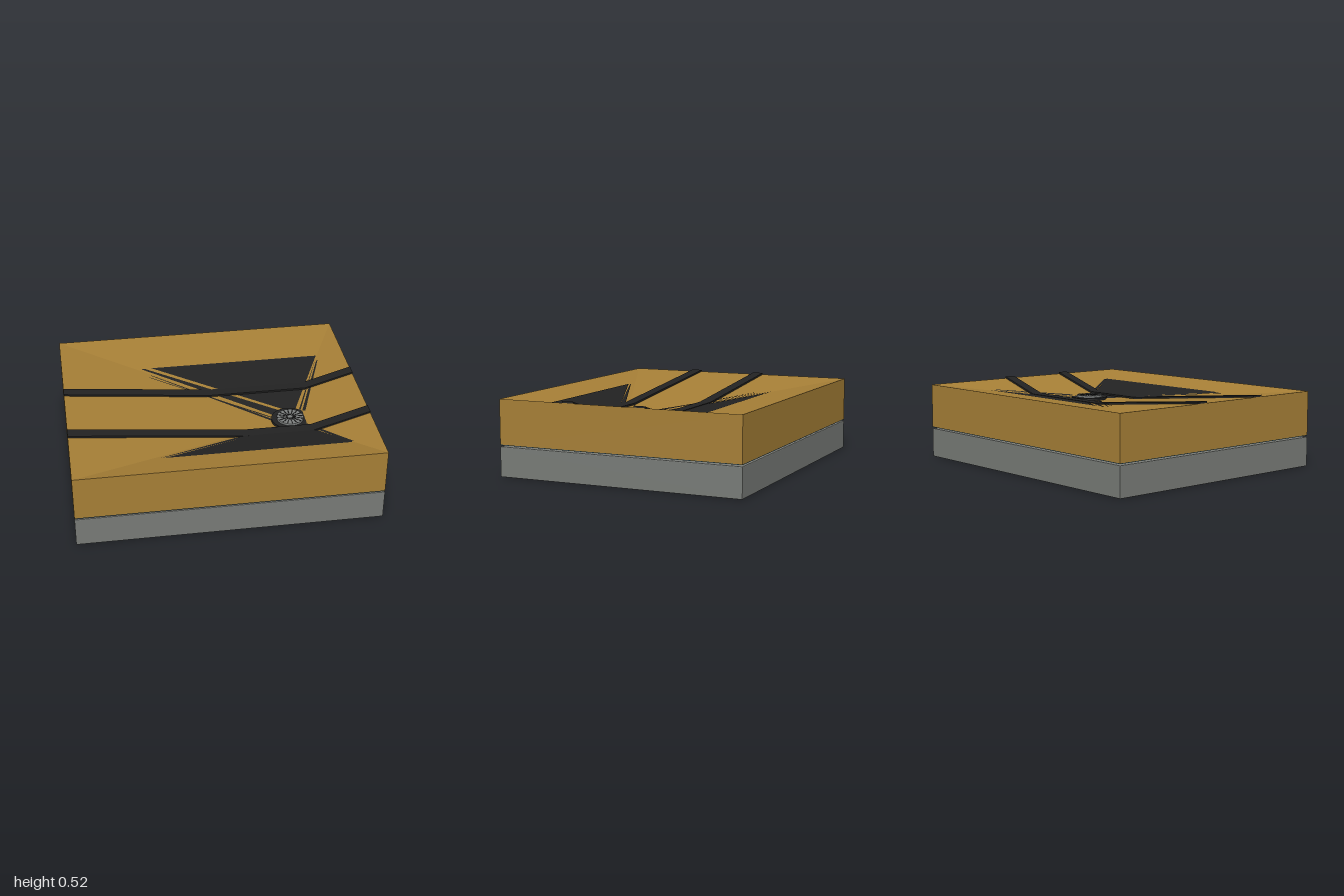
import * as THREE from 'three';

const W = 1, D = 0.84;            // half sizes
const RIM = 0.51, LOW = 0.36;     // rim and low point of the sloped floor
const DX = 0.5, DZ = 0.185;       // drain position

const material = (name, color) => {
  const m = new THREE.MeshStandardMaterial({ color });
  m.name = name;
  return m;
};

// Height of the floor: four planes falling to the drain
function floorY(x, z) {
  const dx = x - DX, dz = z - DZ;
  const u = dx > 0 ? dx / (W - DX) : -dx / (W + DX);
  const v = dz > 0 ? dz / (D - DZ) : -dz / (D + DZ);
  return LOW + (RIM - LOW) * Math.max(u, v);
}

export function createModel() {
  const wood = material('ochre', 0xa67f36);
  const gray = material('concrete gray', 0x787b77);
  const black = material('black', 0x222222);
  const teal = material('dark teal', 0x2f4f58);
  const steel = material('grate gray', 0x7c7f7e);
  black.side = gray.side = THREE.DoubleSide;

  const group = new THREE.Group();
  const add = (name, geometry, mat, x = 0, y = 0, z = 0) => {
    const mesh = new THREE.Mesh(geometry, mat);
    mesh.name = name;
    mesh.position.set(x, y, z);
    group.add(mesh);
    return mesh;
  };

  // Base slab with a round outlet hole and slightly eased edges
  const b = 0.005;
  const outline = new THREE.Shape();
  outline.moveTo(-W + b, -D + b);
  outline.lineTo(W - b, -D + b);
  outline.lineTo(W - b, D - b);
  outline.lineTo(-W + b, D - b);
  outline.closePath();
  const hole = new THREE.Path();
  hole.absarc(DX, -DZ, 0.125, 0, Math.PI * 2, true);
  outline.holes.push(hole);
  const slab = new THREE.ExtrudeGeometry(outline, {
    depth: 0.2 - 2 * b, bevelThickness: b, bevelSize: b, bevelSegments: 2, curveSegments: 24,
  });
  slab.rotateX(-Math.PI / 2);
  add('baseSlab', slab, gray, 0, b, 0);

  // Stepped outlet inside the slab, closed by a dark disc
  const steps = [[0.118, 0.01], [0.118, 0.06], [0.085, 0.06], [0.085, 0.2]]
    .map(([r, y]) => new THREE.Vector2(r, y));
  add('outletPipe', new THREE.LatheGeometry(steps, 32), gray, DX, 0, DZ);
  add('outletCap', new THREE.CylinderGeometry(0.086, 0.086, 0.006, 32), black, DX, 0.195, DZ);
  add('drainFlange', new THREE.CylinderGeometry(0.117, 0.117, 0.015, 32), gray, DX, 0.2065, DZ);

  // Thin membrane under the floor body
  add('membrane', new THREE.BoxGeometry(2 * W, 0.004, 2 * D), teal, 0, 0.211, 0);

  // Floor body: walls, underside and four faces sloping to the drain
  const corners = [[-W, -D], [-W, D], [W, D], [W, -D]];
  const bottom = 0.213, body = [];
  corners.forEach(([x0, z0], i) => {
    const [x1, z1] = corners[(i + 1) % 4];
    body.push(x0, RIM, z0, x1, RIM, z1, DX, LOW, DZ);
    body.push(x0, bottom, z0, x1, bottom, z1, x1, RIM, z1);
    body.push(x0, bottom, z0, x1, RIM, z1, x0, RIM, z0);
    body.push(x1, bottom, z1, x0, bottom, z0, 0, bottom, 0);
  });
  const bodyGeometry = new THREE.BufferGeometry();
  bodyGeometry.setAttribute('position', new THREE.Float32BufferAttribute(body, 3));
  bodyGeometry.computeVertexNormals();
  add('floorBody', bodyGeometry, wood);

  // Black sheet patches lying on the slopes, [x, z] outlines
  const patches = [
    [[-0.37, -0.48], [0.82, -0.48], [0.56, 0.07], [0.48, 0.06]],
    [[-0.44, -0.475], [-0.42, -0.48], [0.44, 0.06], [0.40, 0.11]],
    [[-0.39, -0.40], [-0.38, -0.40], [0.39, 0.16], [0.38, 0.18]],
    [[-0.40, -0.37], [-0.39, -0.37], [0.385, 0.13], [0.38, 0.14]],
    [[0.82, -0.42], [0.81, -0.42], [0.60, 0.11], [0.62, 0.12]],
    [[0.80, -0.42], [0.795, -0.41], [0.585, 0.08], [0.59, 0.10]],
    [[-0.40, 0.625], [0.82, 0.625], [0.57, 0.27], [0.46, 0.27]],
    [[-0.43, 0.62], [-0.39, 0.61], [0.45, 0.28], [0.40, 0.26]],
    [[0.83, 0.61], [0.81, 0.62], [0.58, 0.27], [0.60, 0.27]],
  ];
  for (const points of patches) {
    const shape = new THREE.Shape(points.map(([x, z]) => new THREE.Vector2(x, -z)));
    const patch = new THREE.ShapeGeometry(shape);
    patch.rotateX(-Math.PI / 2);
    const p = patch.attributes.position;
    for (let i = 0; i < p.count; i++) p.setY(i, floorY(p.getX(i), p.getZ(i)) + 0.003);
    patch.computeVertexNormals();
    // keep the lit side up whatever the outline order
    if (patch.attributes.normal.getY(0) < 0) {
      patch.setIndex([...patch.index.array].reverse());
      patch.computeVertexNormals();
    }
    add('blackSheet', patch, black);
  }

  // Two long strips that follow the dip of the floor
  for (const z of [-0.162, 0.338]) {
    const v = z < DZ ? (DZ - z) / (D + DZ) : (z - DZ) / (D - DZ);
    const xs = [-W, DX - v * (W + DX), DX + v * (W - DX), W];
    const top = xs.map((x) => new THREE.Vector2(x, floorY(x, z) + 0.012));
    const under = xs.map((x) => new THREE.Vector2(x, floorY(x, z))).reverse();
    const strip = new THREE.ExtrudeGeometry(new THREE.Shape([...under, ...top]), {
      depth: 0.076, bevelEnabled: false,
    });
    add('strip', strip, black, 0, 0, z - 0.038);
  }

  // Drain: black collar, round grate and radial slots
  add('drainCollar', new THREE.CylinderGeometry(0.126, 0.126, 0.04, 32), black, DX, 0.37, DZ);
  add('drainGrate', new THREE.CylinderGeometry(0.09, 0.093, 0.03, 32), steel, DX, 0.388, DZ);
  for (let i = 0; i < 16; i++) {
    const slot = new THREE.BoxGeometry(0.07, 0.003, 0.007);
    slot.translate(0.053, 0, 0);
    const mesh = add('grateSlot', slot, black, DX, 0.4035, DZ);
    mesh.rotation.y = (i * Math.PI) / 8;
  }
  return group;
}
